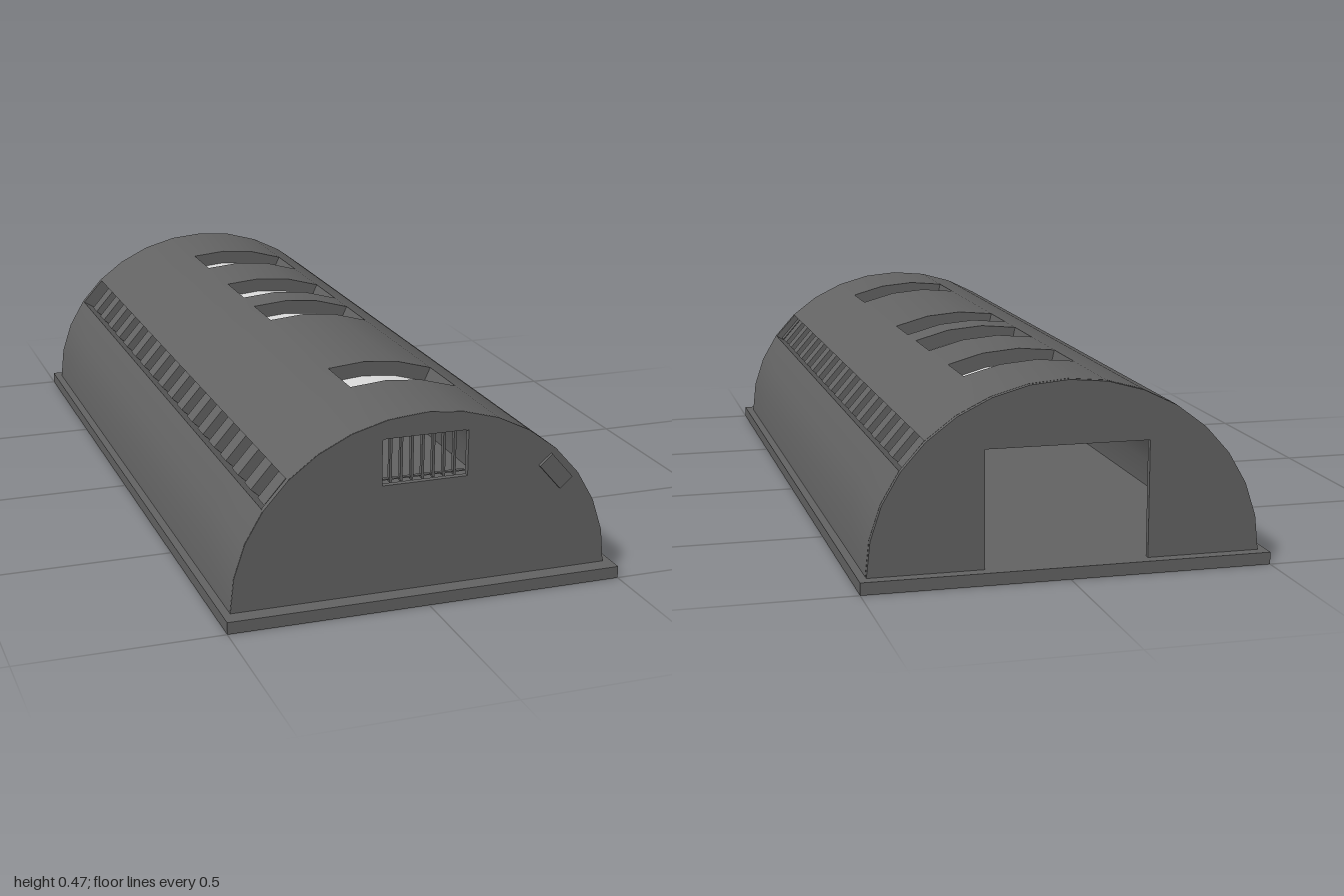
import * as THREE from 'three';
import { toCreasedNormals } from 'three/addons/utils/BufferGeometryUtils.js';

const SEG = 16, A = 0.48, B = 0.44, FLOOR = 0.03;

// point on the faceted vault: k scales the radius, i is the facet edge
function arcPoint(k, i) {
  const t = (i / SEG) * Math.PI;
  return [A * k * Math.cos(t), FLOOR + B * k * Math.sin(t)];
}

// thick curved shell made of cells (facet i, length interval j); walls close every open edge
function arcShell(k0, k1, zs, solid) {
  const pos = [];
  const n = zs.length - 1;
  const has = (i, j) => i >= 0 && i < SEG && j >= 0 && j < n && solid(i, j);
  const quad = (c, flip) => {
    const order = flip ? [0, 2, 1, 0, 3, 2] : [0, 1, 2, 0, 2, 3];
    for (const o of order) pos.push(...arcPoint(c[o][0], c[o][1]), zs[c[o][2]]);
  };
  for (let i = 0; i < SEG; i++) {
    for (let j = 0; j < n; j++) {
      if (!has(i, j)) continue;
      for (const k of [k0, k1]) {
        quad([[k, i, j], [k, i + 1, j], [k, i + 1, j + 1], [k, i, j + 1]], k === k0);
      }
      for (const d of [0, 1]) {
        if (!has(i + (d ? 1 : -1), j)) {
          quad([[k0, i + d, j], [k1, i + d, j], [k1, i + d, j + 1], [k0, i + d, j + 1]], d === 1);
        }
        if (!has(i, j + (d ? 1 : -1))) {
          quad([[k0, i, j + d], [k1, i, j + d], [k1, i + 1, j + d], [k0, i + 1, j + d]], d === 0);
        }
      }
    }
  }
  const g = new THREE.BufferGeometry();
  g.setAttribute('position', new THREE.Float32BufferAttribute(pos, 3));
  return toCreasedNormals(g, 0.4);
}

export function createModel() {
  const group = new THREE.Group();
  const concrete = new THREE.MeshStandardMaterial({ color: 0x636363 });
  concrete.name = 'dark grey concrete';
  const glass = new THREE.MeshStandardMaterial({ color: 0xdcdcdc });
  glass.name = 'pale skylight glass';

  const add = (name, geometry, material, parent = group) => {
    const mesh = new THREE.Mesh(geometry, material);
    mesh.name = name;
    parent.add(mesh);
    return mesh;
  };
  const box = (name, w, h, d, x, y, z, parent) => {
    const m = add(name, new THREE.BoxGeometry(w, h, d), concrete, parent);
    m.position.set(x, y, z);
    return m;
  };

  // foundation slab
  box('baseSlab', 1, FLOOR, 2, 0, FLOOR / 2, 0);

  // vault with four skylight openings and a continuous vent slot on each side
  const zs = [-0.957, -0.705, -0.545, -0.34, -0.18, -0.08, 0.07, 0.54, 0.7, 0.955];
  const isSkylight = (i, j) => i >= 6 && i <= 8 && j % 2 === 1;
  const isSlot = (i) => i === 3 || i === 12;
  add('vault', arcShell(0.9, 1, zs, (i, j) => !isSkylight(i, j) && !isSlot(i)), concrete);
  add('skylights', arcShell(0.905, 0.915, zs, isSkylight), glass);

  // end walls
  const wall = (name, shape, z) => {
    const g = new THREE.ExtrudeGeometry(shape, { depth: 0.015, bevelEnabled: false });
    add(name, g, concrete).position.z = z;
  };
  const arc = [];
  for (let i = 0; i <= SEG; i++) arc.push(new THREE.Vector2(...arcPoint(0.999, i)));

  const frontShape = new THREE.Shape(arc);
  const [wx, wy0, wy1] = [0.108, 0.3, 0.415];
  frontShape.holes.push(new THREE.Path([
    new THREE.Vector2(-wx, wy0), new THREE.Vector2(-wx, wy1),
    new THREE.Vector2(wx, wy1), new THREE.Vector2(wx, wy0),
  ]));
  wall('frontWall', frontShape, 0.942);

  // doorway cut up from the floor
  const doorway = [[-0.2, FLOOR], [-0.2, 0.316], [0.2, 0.316], [0.2, FLOOR]];
  wall('backWall', new THREE.Shape([...arc, ...doorway.map((p) => new THREE.Vector2(...p))]), -0.97);

  // front window grille
  const grille = new THREE.Group();
  grille.name = 'windowGrille';
  group.add(grille);
  for (let i = -3; i <= 3; i++) {
    box('grilleBar', 0.006, wy1 - wy0, 0.012, i * 0.027, (wy0 + wy1) / 2, 0.935, grille);
  }
  box('grilleRail', wx * 2, 0.003, 0.01, 0, 0.308, 0.935, grille);

  // rows of vent blocks inside the side slots
  for (const side of [1, -1]) {
    const vents = new THREE.Group();
    vents.name = side > 0 ? 'leftVents' : 'rightVents';
    group.add(vents);
    const block = (name, depth, z) => {
      const m = box(name, 0.042, 0.085, depth, side * 0.337, 0.286, z, vents);
      m.rotation.z = side * 0.72;
    };
    for (let i = 0; i < 18; i++) block('ventBlock', 0.05, 0.882 - i * 0.1035);
    const end = side > 0 ? 0.965 : 0.957;
    block('ventEndBlock', end - 0.915, (end + 0.915) / 2);
  }
  return group;
}
